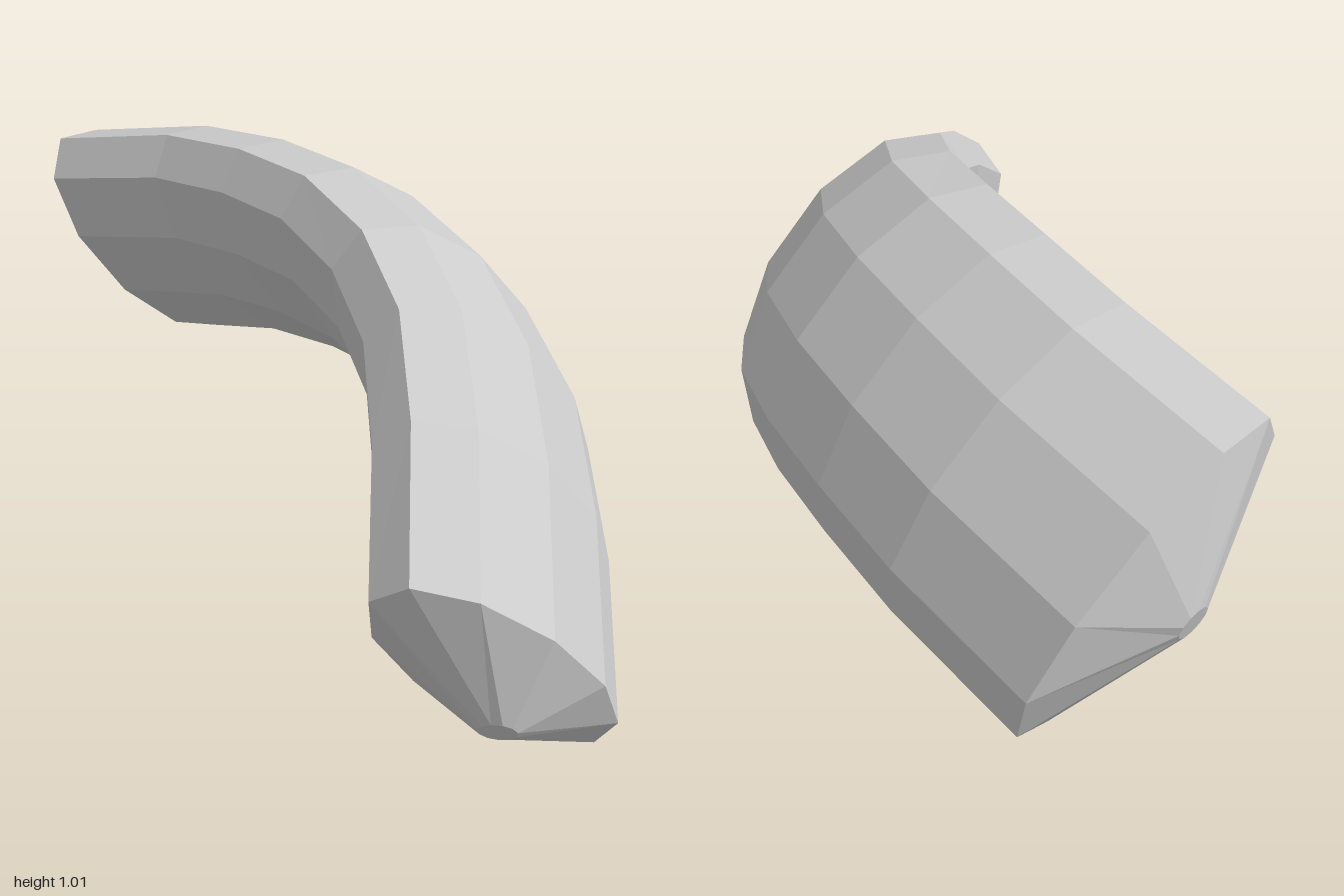
import * as THREE from 'three';

const SIDES = 11;
const AXIS = new THREE.Vector3(-0.65, 0.74, -0.125).normalize(); // axis the tube bends around
const PHASE = THREE.MathUtils.degToRad(-24);
const vec = (p) => new THREE.Vector3(...p);

// Centre line from the back end to the front end
const PATH = [
  [0.272, 0.594, -0.875], [0.307, 0.678, -0.51], [0.292, 0.708, -0.25], [0.256, 0.712, -0.01],
  [0.178, 0.673, 0.228], [0.05, 0.60, 0.442], [-0.127, 0.485, 0.627], [-0.357, 0.307, 0.825],
].map(vec);
const LAST = PATH.length - 1;

// Direction of the centre line; the end rings lean a little further into the bend
const TANGENTS = PATH.map((_, i) => {
  if (i === 0) return vec([0.145, 0.295, 0.945]);
  if (i === LAST) return vec([-0.675, -0.56, 0.476]);
  return PATH[i + 1].clone().sub(PATH[i - 1]).normalize();
});

// One elliptical ring: long radius along AXIS, short radius outward from the bend
function ring(centre, tangent, long, short) {
  const out = new THREE.Vector3().crossVectors(AXIS, tangent).normalize();
  return Array.from({ length: SIDES }, (_, k) => {
    const a = PHASE + (k / SIDES) * Math.PI * 2;
    return centre.clone()
      .addScaledVector(AXIS, Math.cos(a) * long)
      .addScaledVector(out, Math.sin(a) * short);
  });
}

// Joins neighbouring rings with triangles; a radius of zero closes the end
function skin(rings) {
  const pos = [];
  const tri = (a, b, c) => {
    if (a.distanceTo(b) > 1e-6 && b.distanceTo(c) > 1e-6 && c.distanceTo(a) > 1e-6) {
      for (const p of [a, b, c]) pos.push(p.x, p.y, p.z);
    }
  };
  for (let i = 0; i < rings.length - 1; i++) {
    for (let k = 0; k < SIDES; k++) {
      const n = (k + 1) % SIDES;
      tri(rings[i][k], rings[i + 1][k], rings[i][n]);
      tri(rings[i][n], rings[i + 1][k], rings[i + 1][n]);
    }
  }
  const geo = new THREE.BufferGeometry();
  geo.setAttribute('position', new THREE.Float32BufferAttribute(pos, 3));
  geo.computeVertexNormals();
  return geo;
}

export function createModel() {
  const group = new THREE.Group();
  group.name = 'curvedTube';
  const material = new THREE.MeshStandardMaterial({ color: 0xcccccc, flatShading: true });

  const body = PATH.map((p, i) => ring(p, TANGENTS[i], 0.395, 0.188));

  // Shallow conical cap ending in a small round facet
  const cap = (i, inner) => {
    const dir = PATH[i].clone().sub(PATH[inner]).normalize();
    const tip = PATH[i].clone().addScaledVector(dir, 0.125);
    const facet = (r) => ring(tip, TANGENTS[i], r, r);
    return [body[i], facet(0.04), facet(0)];
  };

  const parts = { bentBody: body, backCap: cap(0, 1).reverse(), frontCap: cap(LAST, LAST - 1) };
  for (const [name, rings] of Object.entries(parts)) {
    const mesh = new THREE.Mesh(skin(rings), material);
    mesh.name = name;
    group.add(mesh);
  }

  // Stand on the ground, centred
  const box = new THREE.Box3().setFromObject(group);
  const mid = box.getCenter(new THREE.Vector3());
  for (const mesh of group.children) mesh.geometry.translate(-mid.x, -box.min.y, -mid.z);
  return group;
}
